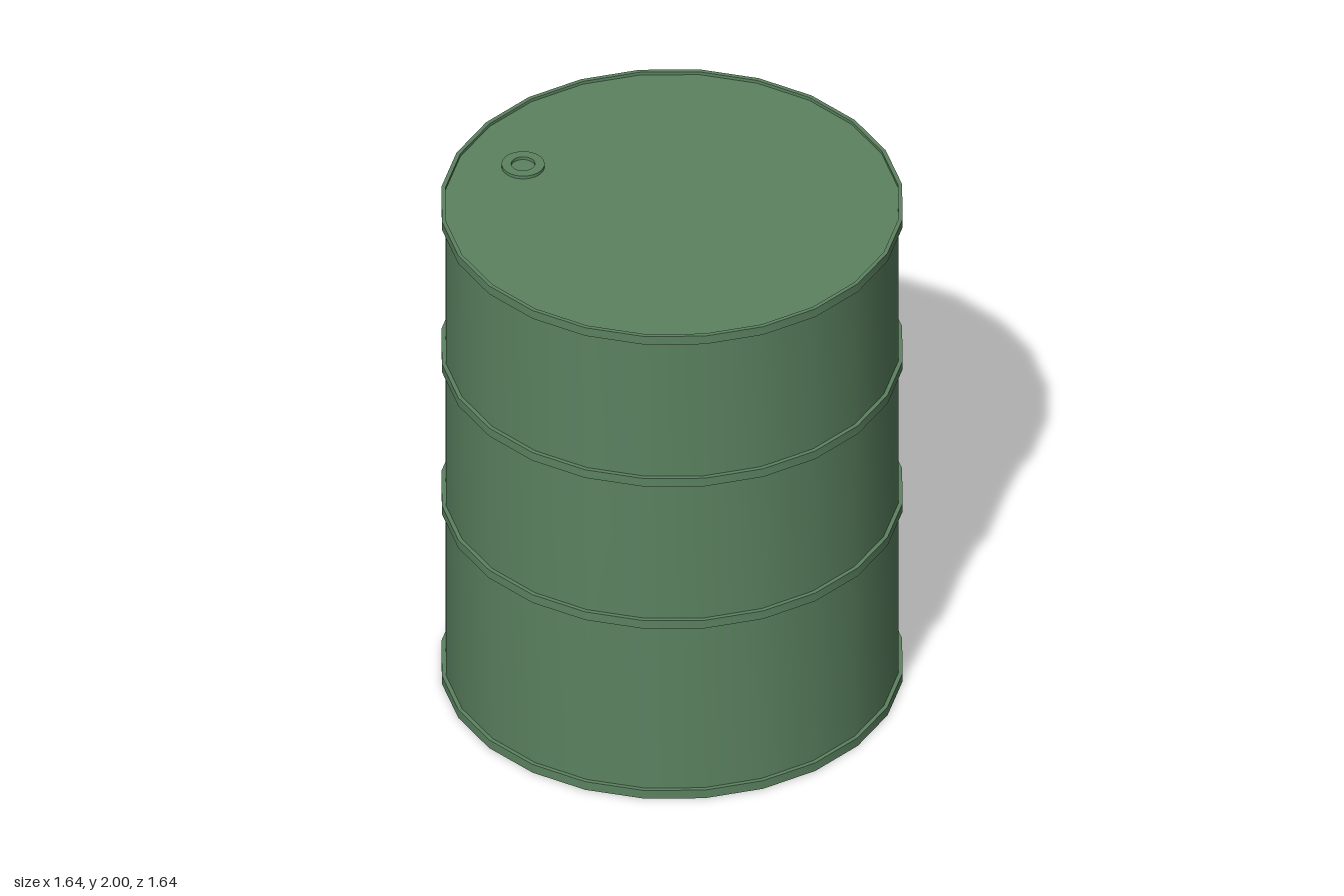
import * as THREE from 'three';
import { toCreasedNormals } from 'three/addons/utils/BufferGeometryUtils.js';

const SIDES = 24;
const BODY_R = 0.805, RIM_R = 0.82, BAND_H = 0.035, LID_Y = 1.988;

const green = new THREE.MeshStandardMaterial({ color: 0x5b8260 });

// Revolve a [radius, y] profile, smooth around and sharp at the profile corners
function turned(name, profile, sides = SIDES) {
  const points = profile.map(([r, y]) => new THREE.Vector2(r, y));
  const geometry = toCreasedNormals(new THREE.LatheGeometry(points, sides), 0.6);
  const mesh = new THREE.Mesh(geometry, green);
  mesh.name = name;
  return mesh;
}

// Closed ring with a rectangular section
function ring(name, inner, outer, height, sides) {
  return turned(name, [[inner, 0], [outer, 0], [outer, height], [inner, height], [inner, 0]], sides);
}

export function createModel() {
  const drum = new THREE.Group();
  drum.name = 'drum';

  // Shell with its base and slightly sunken lid
  drum.add(turned('body', [[0, 0.001], [BODY_R, 0.001], [BODY_R, LID_Y], [0, LID_Y]]));

  // End rims and the two rolling hoops
  const bands = { bottomRim: 0, lowerHoop: 0.735, upperHoop: 1.35, topRim: 2 - BAND_H };
  for (const [name, y] of Object.entries(bands)) {
    const band = ring(name, BODY_R, RIM_R, BAND_H);
    band.position.y = y;
    drum.add(band);
  }

  // Filler opening on the lid: a raised collar around a shallow well
  const collar = ring('fillerCollar', 0.042, 0.076, 2 - LID_Y, 32);
  collar.position.set(-0.577, LID_Y, -0.026);
  drum.add(collar);

  return drum;
}
